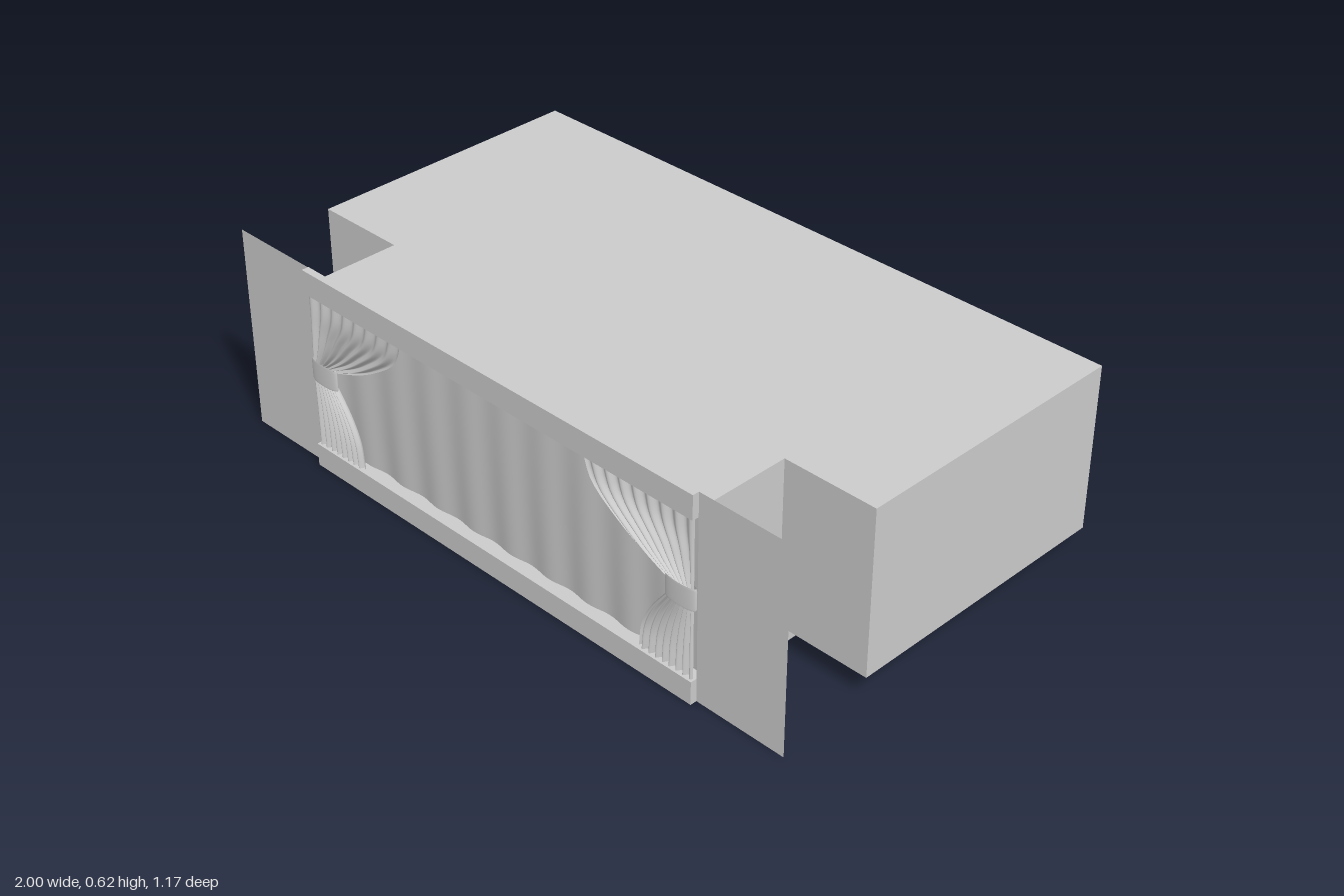
import * as THREE from 'three';

const grey = new THREE.MeshStandardMaterial({ color: 0xcccccc });
const thin = new THREE.MeshStandardMaterial({ color: 0xcccccc, side: THREE.DoubleSide });

const HALF = 0.715;   // half width of the stage opening
const FLOOR = 0.07;   // stage floor height
const ROOF = 0.57;
const FRONT = 0.585;
const CURTAIN = 0.565; // plane of the wings and the mouth of the house

export function createModel() {
  const model = new THREE.Group();

  function add(name, geometry, x = 0, y = 0, z = 0, material = thin) {
    const mesh = new THREE.Mesh(geometry, material);
    mesh.name = name;
    mesh.position.set(x, y, z);
    model.add(mesh);
    return mesh;
  }

  // Cloth: a plane grid whose vertices are placed by rule(u, v), u left to right, v bottom to top
  function cloth(columns, rows, rule) {
    const geometry = new THREE.PlaneGeometry(1, 1, columns, rows);
    const pos = geometry.attributes.position;
    for (let i = 0; i < pos.count; i++) {
      pos.setXYZ(i, ...rule(pos.getX(i) + 0.5, pos.getY(i) + 0.5));
    }
    geometry.computeVertexNormals();
    return geometry;
  }

  // House: T-shaped block, broad at the back and narrow towards the opening
  const neckEnd = 0.53;
  const plan = new THREE.Shape([
    [-1, 0.585], [-1, -0.275], [-HALF, -0.275], [-HALF, -neckEnd],
    [HALF, -neckEnd], [HALF, -0.275], [1, -0.275], [1, 0.585],
  ].map(([x, y]) => new THREE.Vector2(x, y)));
  const house = new THREE.ExtrudeGeometry(plan, { depth: ROOF - FLOOR, bevelEnabled: false });
  house.rotateX(-Math.PI / 2);
  add('house', house, 0, FLOOR, 0, grey);

  // Thin mouth of the house around the back curtain
  const lip = CURTAIN - neckEnd;
  add('mouthRoof', new THREE.PlaneGeometry(2 * HALF, lip).rotateX(-Math.PI / 2), 0, ROOF, neckEnd + lip / 2);
  const ledge = FRONT - neckEnd;
  add('stageFloor', new THREE.PlaneGeometry(2 * HALF, ledge).rotateX(-Math.PI / 2), 0, FLOOR, neckEnd + ledge / 2);

  // Header beam above the opening
  add('header', new THREE.BoxGeometry(2 * HALF, 0.072, 0.022), 0, 0.584, 0.574, grey);

  // Skirt below the stage: front panel with two returns
  add('skirtFront', new THREE.PlaneGeometry(2 * HALF, FLOOR), 0, FLOOR / 2, FRONT);

  // Back curtain with soft folds, its hem drawn slightly back
  add('backCurtain', cloth(160, 10, (u, v) => [
    (u - 0.5) * 2 * HALF,
    FLOOR + v * (ROOF - FLOOR),
    0.558 - 0.012 * (1 - v) ** 2 + 0.004 * Math.sin(u * Math.PI * 20) * (1 - 0.5 * v),
  ]));

  // Inner edges of a tied-back drape, as distance from the centre and height
  const edge = (points) => new THREE.CatmullRomCurve3(points.map(([x, y]) => new THREE.Vector3(x, y, 0)));
  const upperEdge = edge([[0.62, 0.335], [0.53, 0.37], [0.455, 0.41], [0.365, 0.48], [0.335, 0.555]]);
  const lowerEdge = edge([[0.525, 0.07], [0.535, 0.145], [0.565, 0.21], [0.62, 0.285]]);

  // Drape between the outer jamb and an inner edge, pleats converging on the tie
  function drape(side, curve, pleats, bottom, top) {
    return cloth(pleats * 10, 14, (u, v) => {
      const w = side < 0 ? u : 1 - u;
      const p = curve.getPoint(v);
      const outerY = bottom + (top - bottom) * v;
      return [
        side * THREE.MathUtils.lerp(0.71, p.x, w),
        THREE.MathUtils.lerp(outerY, p.y, w),
        0.572 + 0.007 * Math.sin(w * Math.PI * 2 * pleats),
      ];
    });
  }

  for (const side of [1, -1]) {
    const label = side > 0 ? 'left' : 'right';

    add(label + 'Wing', new THREE.PlaneGeometry(1 - HALF, 0.62), side * (1 + HALF) / 2, 0.31, CURTAIN);
    add(label + 'MouthWall', new THREE.PlaneGeometry(lip, ROOF - FLOOR).rotateY(side * Math.PI / 2),
      side * HALF, (ROOF + FLOOR) / 2, neckEnd + lip / 2);
    add(label + 'SkirtReturn', new THREE.PlaneGeometry(0.595, FLOOR).rotateY(side * Math.PI / 2),
      side * HALF, FLOOR / 2, FRONT - 0.595 / 2);

    add(label + 'UpperDrape', drape(side, upperEdge, 8, 0.335, 0.555));
    add(label + 'LowerDrape', drape(side, lowerEdge, 8, 0.07, 0.285));

    // Tie-back band: a flattened, slightly rounded sleeve
    const band = new THREE.LatheGeometry([
      [0.049, -0.033], [0.052, -0.027], [0.052, 0.027], [0.049, 0.033],
    ].map(([r, y]) => new THREE.Vector2(r, y)), 32);
    band.scale(1, 1, 0.22);
    add(label + 'TieBack', band, side * 0.668, 0.312, 0.573);
  }

  return model;
}
